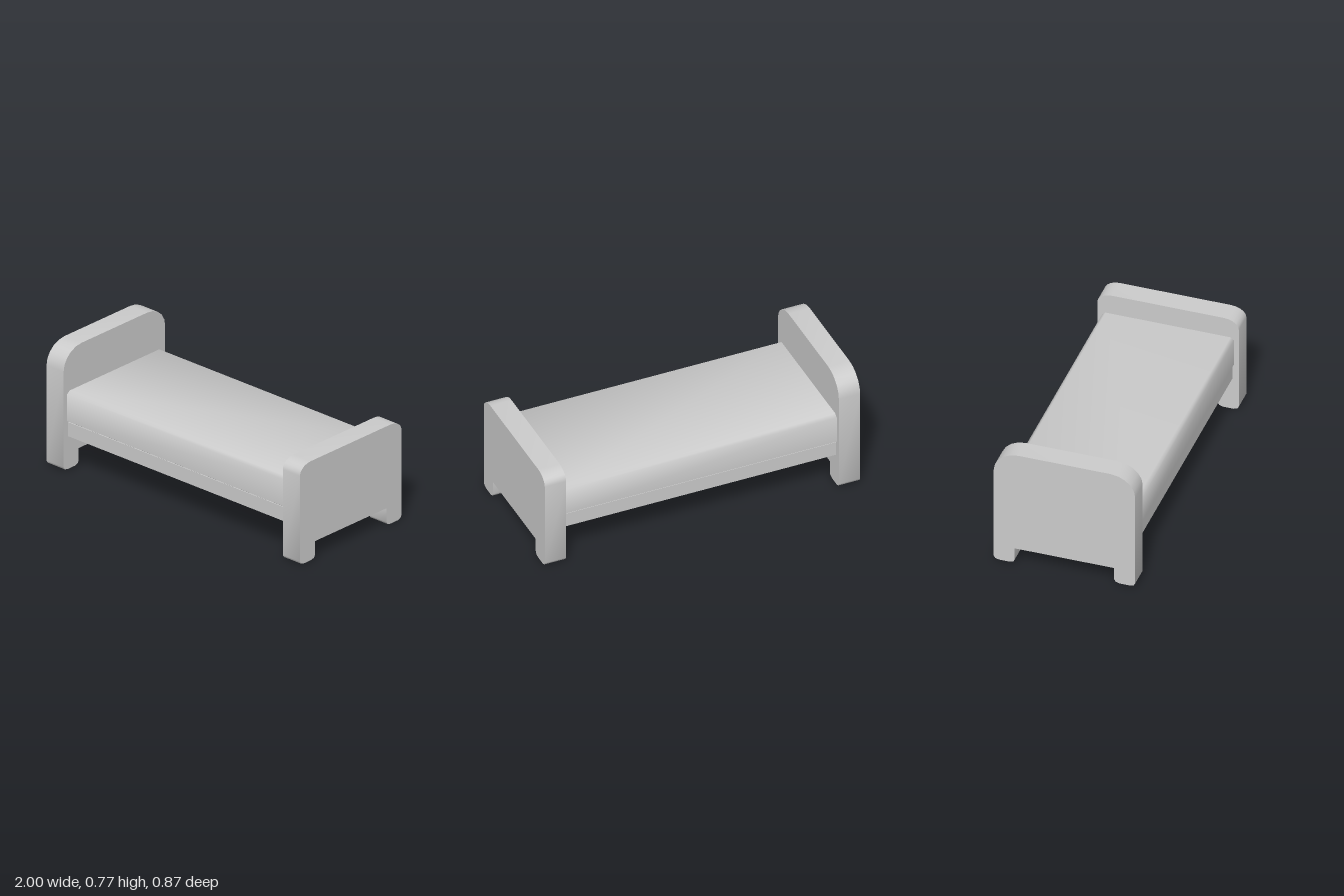
import * as THREE from 'three';
import { toCreasedNormals } from 'three/addons/utils/BufferGeometryUtils.js';

const material = new THREE.MeshStandardMaterial({ color: 0xcccccc });

// Extrudes half an outline (z >= 0, listed bottom to top), mirrored in z, from x0 to x1.
function addProfile(group, name, half, x0, x1, crease) {
  const mirrored = half.map(([z, y]) => [-z, y]).reverse();
  const shape = new THREE.Shape([...half, ...mirrored].map(([z, y]) => new THREE.Vector2(z, y)));
  const extruded = new THREE.ExtrudeGeometry(shape, { depth: x1 - x0, bevelEnabled: false });
  extruded.rotateY(Math.PI / 2).translate(x0, 0, 0);
  const mesh = new THREE.Mesh(toCreasedNormals(extruded, crease), material);
  mesh.name = name;
  group.add(mesh);
}

// End board: two feet around a rectangular gap, rounded upper corners.
function boardOutline(bottom, top, rz, ry) {
  const w = 0.433, inner = 0.304;
  const points = [
    [inner, 0.11], [inner, bottom + 0.023], [inner + 0.009, bottom + 0.007], [inner + 0.032, bottom],
    [w - 0.032, bottom], [w - 0.009, bottom + 0.007], [w, bottom + 0.023],
  ];
  for (let i = 0; i <= 5; i++) {
    const a = (i / 5) * Math.PI / 2;
    points.push([w - rz + rz * Math.cos(a), top - ry + ry * Math.sin(a)]);
  }
  return points;
}

export function createModel() {
  const bed = new THREE.Group();
  bed.name = 'bed';

  addProfile(bed, 'headboard', boardOutline(0.008, 0.775, 0.153, 0.135), -1, -0.865, 0.8);
  addProfile(bed, 'footboard', boardOutline(0, 0.634, 0.093, 0.064), 0.865, 1, 0.8);

  // Mattress with softened long edges
  const mattress = [[0.385, 0.304], [0.403, 0.316], [0.403, 0.488], [0.382, 0.505]];
  addProfile(bed, 'mattress', mattress, -0.87, 0.87, 0.9);

  // Slab under the mattress
  const base = new THREE.Mesh(new THREE.BoxGeometry(1.74, 0.09, 0.79), material);
  base.position.y = 0.262;
  base.name = 'bedBase';
  bed.add(base);

  return bed;
}
